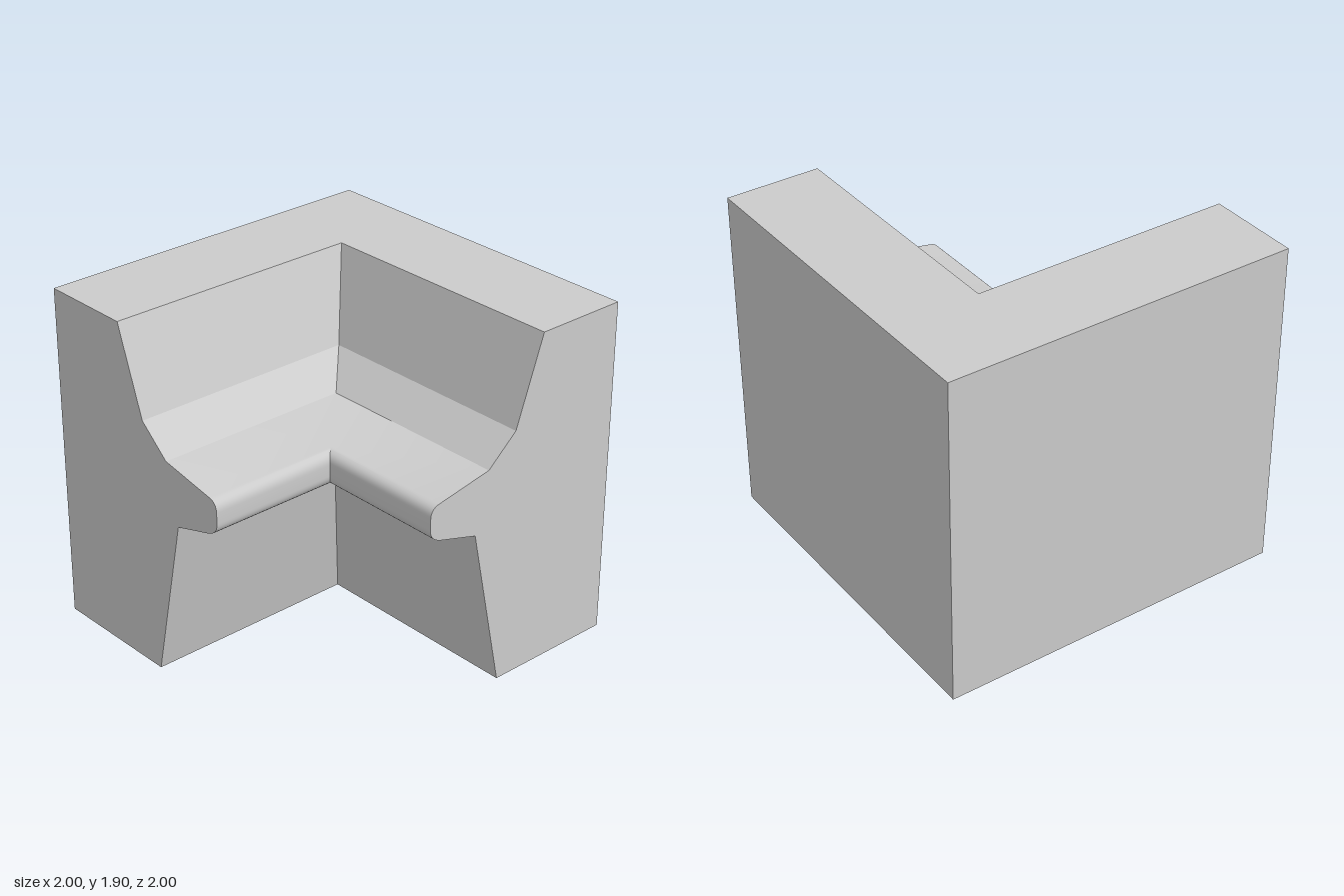
import * as THREE from 'three';
import { toCreasedNormals } from 'three/addons/utils/BufferGeometryUtils.js';

const HEIGHT = 1.905;

// Cross-section of the wall: x is the distance from the centre, y is up
function wallProfile() {
  const s = new THREE.Shape();
  s.moveTo(-1, 0);
  s.lineTo(-0.235, 0);
  s.lineTo(-0.04, 0.93);
  // rounded nose of the ledge
  s.lineTo(0.2, 1.0);
  s.quadraticCurveTo(0.27, 1.022, 0.27, 1.08);
  s.lineTo(0.27, 1.14);
  s.quadraticCurveTo(0.27, 1.198, 0.215, 1.208);
  // sloping shelf and upper wall
  s.lineTo(-0.12, 1.27);
  s.lineTo(-0.3, 1.425);
  s.lineTo(-0.47, HEIGHT);
  s.lineTo(-1, HEIGHT);
  s.closePath();
  return s;
}

// Sweep the profile along the back arm, through the mitre, then along the right arm
function corneredWall() {
  const geo = new THREE.ExtrudeGeometry(wallProfile(), {
    depth: 2, steps: 2, curveSegments: 8, bevelEnabled: false,
  });
  const p = geo.attributes.position;
  for (let i = 0; i < p.count; i++) {
    const d = p.getX(i), y = p.getY(i), layer = Math.round(p.getZ(i));
    if (layer === 0) p.setXYZ(i, 1, y, d);
    else if (layer === 1) p.setXYZ(i, d, y, d);
    else p.setXYZ(i, d, y, 1);
  }
  geo.clearGroups();
  geo.deleteAttribute('uv');
  return toCreasedNormals(geo, THREE.MathUtils.degToRad(25));
}

export function createModel() {
  const model = new THREE.Group();
  model.name = 'cornerWallWithLedge';
  const wall = new THREE.Mesh(
    corneredWall(),
    new THREE.MeshStandardMaterial({ color: 0xcccccc })
  );
  wall.name = 'cornerWall';
  model.add(wall);
  return model;
}
